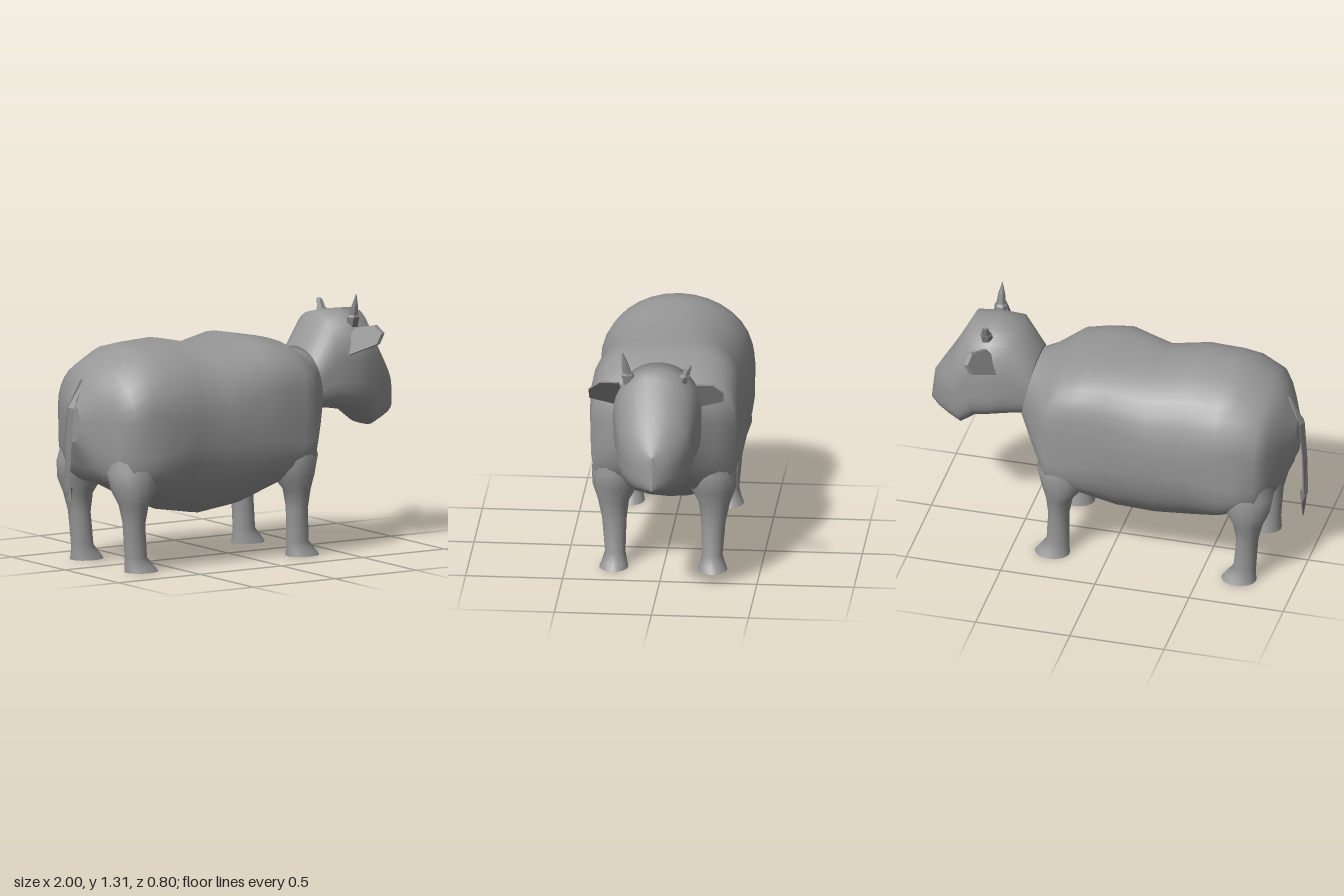
import * as THREE from 'three';

const smooth = new THREE.MeshStandardMaterial({ color: 0x989898, side: THREE.DoubleSide });
const faceted = new THREE.MeshStandardMaterial({ color: 0x868686, side: THREE.DoubleSide, flatShading: true });

// Skin a list of closed rings (equal point counts, [x, y, z]); cap the end, and the start unless open.
function skin(rings, openStart = false) {
  const n = rings[0].length, pos = rings.flat(2), idx = [];
  for (let i = 0; i < rings.length - 1; i++) {
    for (let j = 0; j < n; j++) {
      const k = (j + 1) % n, a = i * n + j, b = i * n + k;
      idx.push(a, b, b + n, a, b + n, a + n);
    }
  }
  [rings[0], rings[rings.length - 1]].forEach((ring, end) => {
    if (openStart && !end) return;
    const base = pos.length / 3;
    pos.push(...ring.flat());
    for (let j = 1; j < n - 1; j++) idx.push(base, ...(end ? [base + j, base + j + 1] : [base + j + 1, base + j]));
  });
  // Signed volume tells whether the faces point outward.
  const v = (i) => new THREE.Vector3().fromArray(pos, idx[i] * 3);
  let volume = 0;
  for (let i = 0; i < idx.length; i += 3) volume += v(i).dot(v(i + 1).cross(v(i + 2)));
  if (volume < 0) idx.reverse();
  const g = new THREE.BufferGeometry();
  g.setAttribute('position', new THREE.Float32BufferAttribute(pos, 3));
  g.setIndex(idx);
  g.computeVertexNormals();
  return g;
}

// Upright section: top x, y, bottom x, y, half width, squareness above and below; then height of the widest point.
function section([xt, yt, xb, yb, w, nTop, nBot], mid, count = 32) {
  const ym = yb + (yt - yb) * mid;
  return Array.from({ length: count }, (_, i) => {
    const a = (i / count) * Math.PI * 2, c = Math.cos(a), s = Math.sin(a);
    const p = 2 / (s >= 0 ? nTop : nBot);
    const y = ym + (s >= 0 ? yt - ym : yb - ym) * Math.abs(s) ** p;
    const z = w * Math.sign(c) * Math.abs(c) ** p;
    return [xb + (xt - xb) * (y - yb) / (yt - yb), y, z];
  });
}

// Level ring: height, centre, radii.
const level = ([y, x, z, rx, rz], count) => Array.from({ length: count }, (_, i) => {
  const a = (i / count) * Math.PI * 2;
  return [x + rx * Math.cos(a), y, z + rz * Math.sin(a)];
});

export function createModel() {
  const model = new THREE.Group();
  model.name = 'cow';
  const add = (name, geometry, material) => {
    const mesh = new THREE.Mesh(geometry, material);
    mesh.name = name;
    model.add(mesh);
  };

  // Body from rump to neck: round rump, broad shoulders, squarer below where the legs join
  const body = [
    [-0.95, 0.86, -0.95, 0.66, 0.06, 2, 2.2],
    [-0.9, 0.97, -0.89, 0.52, 0.19, 2, 3],
    [-0.86, 1.03, -0.85, 0.46, 0.28, 2, 4],
    [-0.81, 1.07, -0.8, 0.43, 0.362, 2, 5],
    [-0.69, 1.14, -0.69, 0.4, 0.382, 2, 5],
    [-0.6, 1.147, -0.6, 0.345, 0.398, 2.1, 3.6],
    [-0.42, 1.155, -0.45, 0.27, 0.39, 2.2, 2.4],
    [-0.22, 1.113, -0.24, 0.235, 0.376, 2.3, 2.2],
    [0, 1.145, -0.05, 0.265, 0.398, 2.9, 2.4],
    [0.12, 1.122, 0.13, 0.36, 0.392, 3, 3.6],
    [0.24, 1.1, 0.23, 0.42, 0.38, 2.8, 5.5],
    [0.3, 1.06, 0.31, 0.44, 0.372, 2.5, 5],
    [0.36, 1.035, 0.4, 0.54, 0.285, 2.3, 3.2],
    [0.42, 1.025, 0.5, 0.69, 0.185, 2.2, 2.2],
  ];
  add('body', skin(body.map((s) => section(s, 0.56))), smooth);

  // Head from nape to muzzle, flat under the jaw
  const head = [
    [0.42, 1.04, 0.48, 0.72, 0.19, 2.1, 3],
    [0.53, 1.21, 0.56, 0.715, 0.218, 2.1, 3.6],
    [0.65, 1.214, 0.65, 0.7, 0.228, 2.1, 3.8],
    [0.77, 1.21, 0.73, 0.675, 0.21, 2.1, 3.8],
    [0.86, 1.04, 0.81, 0.605, 0.178, 2.1, 3.4],
    [0.905, 0.965, 0.88, 0.63, 0.138, 2.1, 3.4],
    [0.945, 0.9, 0.94, 0.65, 0.092, 2.1, 3.2],
    [0.968, 0.862, 0.983, 0.667, 0.04, 2.1, 3],
    [0.977, 0.85, 0.997, 0.672, 0.004, 2.1, 3],
  ];
  add('head', skin(head.map((s) => section(s, 0.52))), smooth);

  // Legs: height, centre x, centre z, radii; hollow hooves, tops ending inside the body
  const frontLeg = [
    [0, 0.29, 0.255, 0.092, 0.075],
    [0.03, 0.28, 0.252, 0.08, 0.065],
    [0.075, 0.262, 0.25, 0.06, 0.053],
    [0.25, 0.255, 0.255, 0.055, 0.063],
    [0.35, 0.25, 0.26, 0.07, 0.08],
    [0.43, 0.23, 0.252, 0.115, 0.118],
    [0.52, 0.23, 0.245, 0.14, 0.128],
    [0.66, 0.22, 0.23, 0.12, 0.12],
  ];
  const rearLeg = [
    [0, -0.7, 0.255, 0.092, 0.075],
    [0.03, -0.71, 0.252, 0.08, 0.065],
    [0.075, -0.73, 0.25, 0.06, 0.053],
    [0.25, -0.745, 0.255, 0.057, 0.063],
    [0.35, -0.75, 0.26, 0.077, 0.08],
    [0.43, -0.745, 0.25, 0.118, 0.118],
    [0.52, -0.735, 0.235, 0.142, 0.128],
    [0.66, -0.72, 0.22, 0.12, 0.12],
  ];

  // Ear outline in z and y, swept forward as it goes outward and upward
  const earOutline = [[0.17, 1.05], [0.21, 1.0], [0.345, 1.07], [0.347, 1.125], [0.29, 1.16], [0.2, 1.14]];

  for (const [side, s] of [['left', -1], ['right', 1]]) {
    for (const [name, rows] of [['FrontLeg', frontLeg], ['RearLeg', rearLeg]]) {
      add(side + name, skin(rows.map(([y, x, z, rx, rz]) => level([y, x, z * s, rx, rz], 16)), true), smooth);
    }
    const earRing = (dx) => earOutline.map(([z, y]) => [0.592 + (z - 0.18) * 0.48 + (y - 1.02) * 0.5 + dx, y, z * s]);
    add(side + 'Ear', skin([earRing(-0.01), earRing(0.01)]), faceted);
  }

  // One full horn and one broken stub
  const horn = (rows) => skin(rows.map(([y, z, r]) => level([y, 0.67, z, r, r], 6)));
  add('fullHorn', horn([[1.12, 0.13, 0.035], [1.19, 0.152, 0.034], [1.2, 0.155, 0.025], [1.25, 0.166, 0.018], [1.31, 0.179, 0.002]]), faceted);
  add('brokenHorn', horn([[1.12, -0.115, 0.033], [1.19, -0.14, 0.032], [1.2, -0.148, 0.024], [1.235, -0.163, 0.018], [1.245, -0.17, 0.012]]), faceted);

  // Tail and its tuft
  const tail = (rows) => skin(rows.map(([y, x, rx, rz]) => level([y, x, 0, rx, rz], 4)));
  add('tail', tail([[0.98, -0.89, 0.015, 0.005], [0.84, -0.966, 0.016, 0.034], [0.62, -0.982, 0.014, 0.03], [0.41, -0.985, 0.015, 0.022]]), faceted);
  add('tailTuft', tail([[0.425, -0.975, 0.02, 0.014], [0.36, -0.975, 0.014, 0.026], [0.27, -0.973, 0.003, 0.004]]), faceted);

  return model;
}
